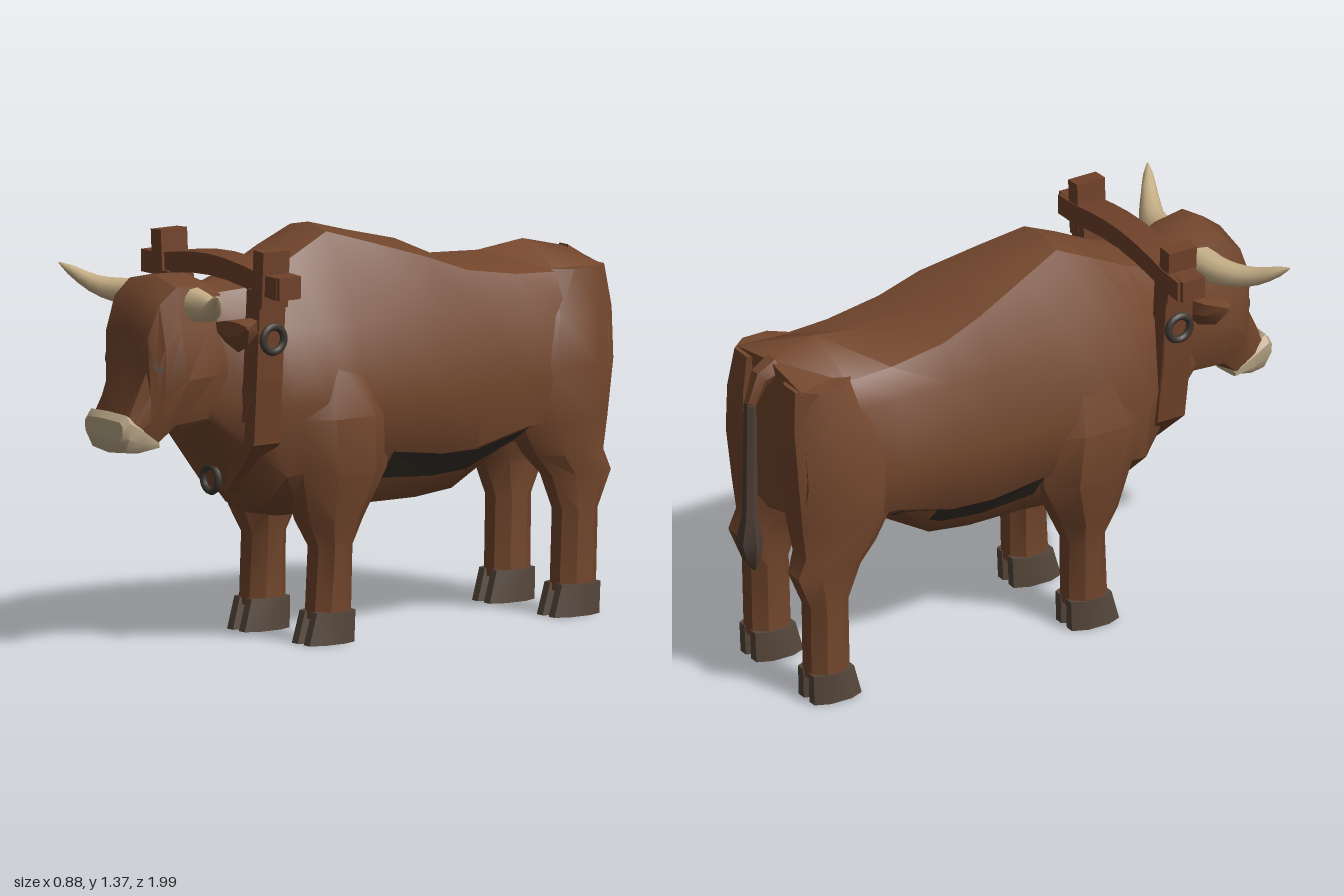
import * as THREE from 'three';
import { toCreasedNormals } from 'three/addons/utils/BufferGeometryUtils.js';

const mat = (name, color, extra = {}) => {
  const m = new THREE.MeshStandardMaterial({ color, ...extra });
  m.name = name;
  return m;
};

// Closed skin through rings of [x, y, z] points, capped at both ends and turned outward.
function loft(rings) {
  const tris = [];
  const n = rings[0].length;
  for (let i = 0; i < rings.length - 1; i++) {
    for (let j = 0; j < n; j++) {
      const k = (j + 1) % n;
      const [a, b, c, d] = [rings[i][j], rings[i][k], rings[i + 1][k], rings[i + 1][j]];
      tris.push([a, b, c], [a, c, d]);
    }
  }
  const cap = (ring, flip) => {
    const mid = [0, 1, 2].map(q => ring.reduce((s, p) => s + p[q], 0) / n);
    ring.forEach((p, j) => {
      const next = ring[(j + 1) % n];
      tris.push(flip ? [mid, next, p] : [mid, p, next]);
    });
  };
  cap(rings[0], true);
  cap(rings[rings.length - 1], false);
  const v = p => new THREE.Vector3(...p);
  const volume = tris.reduce((s, [a, b, c]) => s + v(a).dot(v(b).cross(v(c))), 0);
  if (volume < 0) tris.forEach(t => t.reverse());
  const geo = new THREE.BufferGeometry();
  geo.setAttribute('position', new THREE.Float32BufferAttribute(tris.flat(2), 3));
  return toCreasedNormals(geo, 0.65);
}

// Half outline (top centre to bottom centre) mirrored into a full ring at depth z.
const mirrorRing = (z, half) => [
  ...half.map(([x, y]) => [x, y, z]),
  ...half.slice(1, -1).reverse().map(([x, y]) => [-x, y, z]),
];

// Half outlines of the torso, head and muzzle from a few measures each.
const torsoHalf = ([, top, ridge, drop, w, flank, low]) => [[0, top], [ridge, top - drop], [w * 0.88, 1.07],
  [w, 0.82], [w * 0.87, flank], [w * 0.38, low + 0.022], [0, low]];
const headHalf = ([, top, brow, eye, cheek, jaw, low]) => [[0, top], [brow, top - 0.03],
  [eye, top - (top - low) * 0.33], [cheek, top - (top - low) * 0.64], [jaw, low + 0.03], [0, low]];
const muzzleHalf = ([, top, w, low]) => [[0, top], [w * 0.83, top - 0.003], [w, top - (top - low) * 0.2],
  [w * 0.98, low + (top - low) * 0.4], [w * 0.76, low + 0.01], [0, low]];
const body = (rows, half) => rows.map(r => mirrorRing(r[0], half(r)));

// Chamfered rectangle lying level at height y.
function levelRing([y, x0, x1, z0, z1]) {
  const cx = (x1 - x0) * 0.28, cz = (z1 - z0) * 0.28;
  return [[x0 + cx, z0], [x1 - cx, z0], [x1, z0 + cz], [x1, z1 - cz],
    [x1 - cx, z1], [x0 + cx, z1], [x0, z1 - cz], [x0, z0 + cz]].map(([x, z]) => [x, y, z]);
}

// Round ring about a centre, facing along direction d.
function roundRing([x, y, z], r, d, n) {
  const q = new THREE.Quaternion().setFromUnitVectors(new THREE.Vector3(0, 0, 1), d.clone().normalize());
  return Array.from({ length: n }, (_, i) => {
    const a = i / n * Math.PI * 2;
    const p = new THREE.Vector3(Math.cos(a) * r, Math.sin(a) * r, 0).applyQuaternion(q);
    return [p.x + x, p.y + y, p.z + z];
  });
}

export function createModel() {
  const model = new THREE.Group();
  const hide = mat('hide brown', 0x74472d);
  const wood = mat('yoke wood', 0x70422a);
  const horn = mat('horn cream', 0xc8b189);
  const nose = mat('muzzle cream', 0xbca889);
  const hoof = mat('hoof grey', 0x56473b);
  const iron = mat('iron', 0x3e3732);
  const tuft = mat('tail hair', 0x4c3d34);
  const dark = mat('belly hair', 0x3a312a, { side: THREE.DoubleSide });
  const add = (name, geo, material, x = 0, y = 0, z = 0) => {
    const mesh = new THREE.Mesh(geo, material);
    mesh.name = name;
    mesh.position.set(x, y, z);
    model.add(mesh);
    return mesh;
  };
  const flip = (rings, s) => rings.map(r => r.map(([x, y, z]) => [x * s, y, z]));

  // Torso and neck: depth, top, ridge half width, ridge drop, half width, flank height, bottom
  const torso = [
    [0.68, 1.2, 0.09, 0.01, 0.15, 0.78, 0.735],
    [0.52, 1.22, 0.11, 0.02, 0.225, 0.66, 0.53],
    [0.43, 1.25, 0.11, 0.02, 0.275, 0.58, 0.435],
    [0.3, 1.31, 0.11, 0.015, 0.305, 0.6, 0.41],
    [0.17, 1.375, 0.1, 0.02, 0.31, 0.62, 0.41],
    [0.02, 1.335, 0.14, 0.025, 0.305, 0.635, 0.42],
    [-0.18, 1.287, 0.19, 0.04, 0.308, 0.61, 0.42],
    [-0.33, 1.222, 0.2, 0.03, 0.295, 0.61, 0.435],
    [-0.53, 1.215, 0.2, 0.055, 0.3, 0.66, 0.55],
    [-0.7, 1.237, 0.2, 0.085, 0.285, 0.66, 0.6],
    [-0.88, 1.195, 0.2, 0.035, 0.25, 0.7, 0.65],
  ];
  add('torso', loft(body(torso, torsoHalf)), hide);

  // Head: depth, top, half widths of brow, eyes, cheeks and jaw, bottom
  const head = body([
    [0.56, 1.2, 0.1, 0.14, 0.15, 0.1, 0.75],
    [0.68, 1.255, 0.11, 0.15, 0.19, 0.14, 0.757],
    [0.8, 1.262, 0.13, 0.16, 0.197, 0.13, 0.745],
    [0.865, 1.21, 0.125, 0.16, 0.16, 0.11, 0.685],
    [0.88, 1.1, 0.115, 0.14, 0.138, 0.105, 0.678],
    [0.9, 0.985, 0.1, 0.125, 0.125, 0.1, 0.675],
    [0.98, 0.83, 0.07, 0.095, 0.1, 0.085, 0.695],
  ], headHalf);
  // Brow jutting over the eyes
  head[4].forEach(p => { p[2] += Math.max(0, p[1] - 0.9) * 0.16; });
  add('head', loft(head), hide);
  // Muzzle: depth, top, half width, bottom
  add('muzzle', loft(body([
    [0.855, 0.725, 0.112, 0.688], [0.93, 0.79, 0.121, 0.678], [0.98, 0.822, 0.118, 0.685], [1, 0.8, 0.105, 0.715],
  ], muzzleHalf)), nose);

  const hornPath = new THREE.CatmullRomCurve3([
    new THREE.Vector3(0.08, 1.168, 0.715), new THREE.Vector3(0.2, 1.167, 0.735),
    new THREE.Vector3(0.32, 1.183, 0.793), new THREE.Vector3(0.44, 1.247, 0.86)]);

  for (const s of [1, -1]) {
    // Dark strip along the flank of the belly
    const rows = torso.slice(5, 9).map(r => {
      const [a, b] = torsoHalf(r).slice(4, 6);
      return [0, 0.5].map(t => [s * (a[0] + (b[0] - a[0]) * t + 0.004), a[1] + (b[1] - a[1]) * t - 0.004, r[0]]);
    });
    const pts = [0, 1, 2].flatMap(i => {
      const [a, b] = rows[i], [d, c] = rows[i + 1];
      return s > 0 ? [a, b, c, a, c, d] : [a, c, b, a, d, c];
    });
    const strip = new THREE.BufferGeometry();
    strip.setAttribute('position', new THREE.Float32BufferAttribute(pts.flat(), 3));
    strip.computeVertexNormals();
    add('bellyStrip', strip, dark);

    // Eye
    const eye = add('eye', new THREE.CylinderGeometry(0.024, 0.024, 0.009, 10), hoof, s * 0.143, 0.98, 0.876);
    eye.quaternion.setFromUnitVectors(new THREE.Vector3(0, 1, 0), new THREE.Vector3(s * 0.82, 0.12, 0.56).normalize());

    // Horn
    const hornRings = Array.from({ length: 11 }, (_, i) => {
      const t = i / 10;
      return roundRing(hornPath.getPoint(t).toArray(), 0.057 * Math.pow(1 - t, 0.6) + 0.003, hornPath.getTangent(t), 10);
    });
    add('horn', loft(flip(hornRings, s)), horn);

    // Ear
    const ear = [[0.12, 1.05, 1.1, 0.6, 0.64], [0.24, 1.015, 1.125, 0.58, 0.68], [0.32, 1.045, 1.128, 0.61, 0.69],
      [0.362, 1.105, 1.12, 0.665, 0.685]].map(([x, y0, y1, z0, z1]) => {
      const ym = (y0 + y1) / 2;
      return [[x, y1, z0], [x, y1, z1], [x, ym, z1], [x, y0, (z0 + z1) / 2], [x, ym, z0]];
    });
    add('ear', loft(flip(ear, s)), hide);

    // Legs: height, inner and outer x, back and front z
    add('frontLeg', loft(flip([
      [0.09, 0.12, 0.245, 0.15, 0.298], [0.33, 0.115, 0.255, 0.148, 0.285], [0.42, 0.085, 0.28, 0.11, 0.33],
      [0.58, 0.06, 0.318, 0.03, 0.37], [0.77, 0.1, 0.333, 0.035, 0.4], [0.95, 0.12, 0.285, 0.09, 0.32],
    ].map(levelRing), s)), hide);
    add('rearLeg', loft(flip([
      [0.09, 0.12, 0.245, -0.845, -0.697], [0.36, 0.12, 0.25, -0.85, -0.705], [0.48, 0.11, 0.26, -0.9, -0.66],
      [0.55, 0.08, 0.27, -0.87, -0.6], [0.66, 0.05, 0.285, -0.885, -0.54], [0.85, 0.04, 0.297, -0.905, -0.5],
      [1.02, 0.05, 0.27, -0.91, -0.56], [1.16, 0.065, 0.235, -0.895, -0.68],
    ].map(levelRing), s)), hide);

    // Cloven hooves, two toes each
    for (const dz of [0, -0.995]) {
      for (const x of [0.11, 0.176]) {
        add('hoofToe', loft(flip([
          [0.008, x, x + 0.074, 0.15, 0.332], [0.115, x + 0.003, x + 0.074, 0.146, 0.302],
        ].map(levelRing), s)), hoof, 0, 0, dz);
      }
    }

    // Yoke post, beam end and side ring
    const post = add('yokePost', new THREE.BoxGeometry(0.056, 0.19, 0.107), wood, s * 0.28, 1.256, 0.527);
    post.rotation.z = -s * 0.06;
    add('yokeEnd', new THREE.BoxGeometry(0.06, 0.075, 0.085), wood, s * 0.355, 1.235, 0.525);
    const ring = add('sideRing', new THREE.TorusGeometry(0.042, 0.013, 8, 18), iron, s * 0.293, 1.055, 0.525);
    ring.rotation.y = Math.PI / 2;
  }

  // Arched yoke beam
  const beam = Array.from({ length: 9 }, (_, i) => {
    const x = -0.37 + i * 0.0925;
    const y = 1.235 + 0.035 * Math.cos(Math.min(1, Math.abs(x) / 0.3) * Math.PI / 2);
    return [[x, y + 0.035, 0.47], [x, y + 0.035, 0.57], [x, y - 0.035, 0.57], [x, y - 0.035, 0.47]];
  });
  add('yokeBeam', loft(beam), wood);

  // Neck bow, swept back below the throat
  const outer = [[0.295, 1.22], [0.275, 0.92], [0.25, 0.7], [0.06, 0.52]];
  const inner = [[0.05, 0.6], [0.17, 0.74], [0.2, 0.92], [0.22, 1.22]];
  const mirrored = side => side.map(([x, y]) => [-x, y]).reverse();
  const outline = [...outer, ...mirrored(outer), ...mirrored(inner), ...inner].map(p => new THREE.Vector2(...p));
  const bow = new THREE.ExtrudeGeometry(new THREE.Shape(outline), { depth: 0.105, bevelEnabled: false });
  const pos = bow.attributes.position;
  for (let i = 0; i < pos.count; i++) {
    pos.setZ(i, pos.getZ(i) + 0.475 - Math.max(0, 0.75 - pos.getY(i)) * 0.15);
  }
  bow.computeVertexNormals();
  add('neckBow', bow, wood);
  add('chestRing', new THREE.TorusGeometry(0.042, 0.012, 8, 20), iron, 0, 0.558, 0.566);

  // Tail and its dark tuft
  const down = new THREE.Vector3(0, -1, 0);
  add('tailRoot', loft([
    roundRing([0, 1.165, -0.86], 0.045, new THREE.Vector3(0, -0.2, -1), 6),
    roundRing([0, 1.14, -0.915], 0.036, new THREE.Vector3(0, -0.6, -0.8), 6),
    roundRing([0, 1.05, -0.95], 0.022, down, 6),
  ]), hide);
  add('tailTuft', loft([[1.06, 0.021, -0.951], [0.64, 0.026, -0.952], [0.545, 0.046, -0.954],
    [0.48, 0.03, -0.945], [0.435, 0.006, -0.935]].map(([y, r, z]) => roundRing([0, y, z], r, down, 6))), tuft);

  return model;
}
